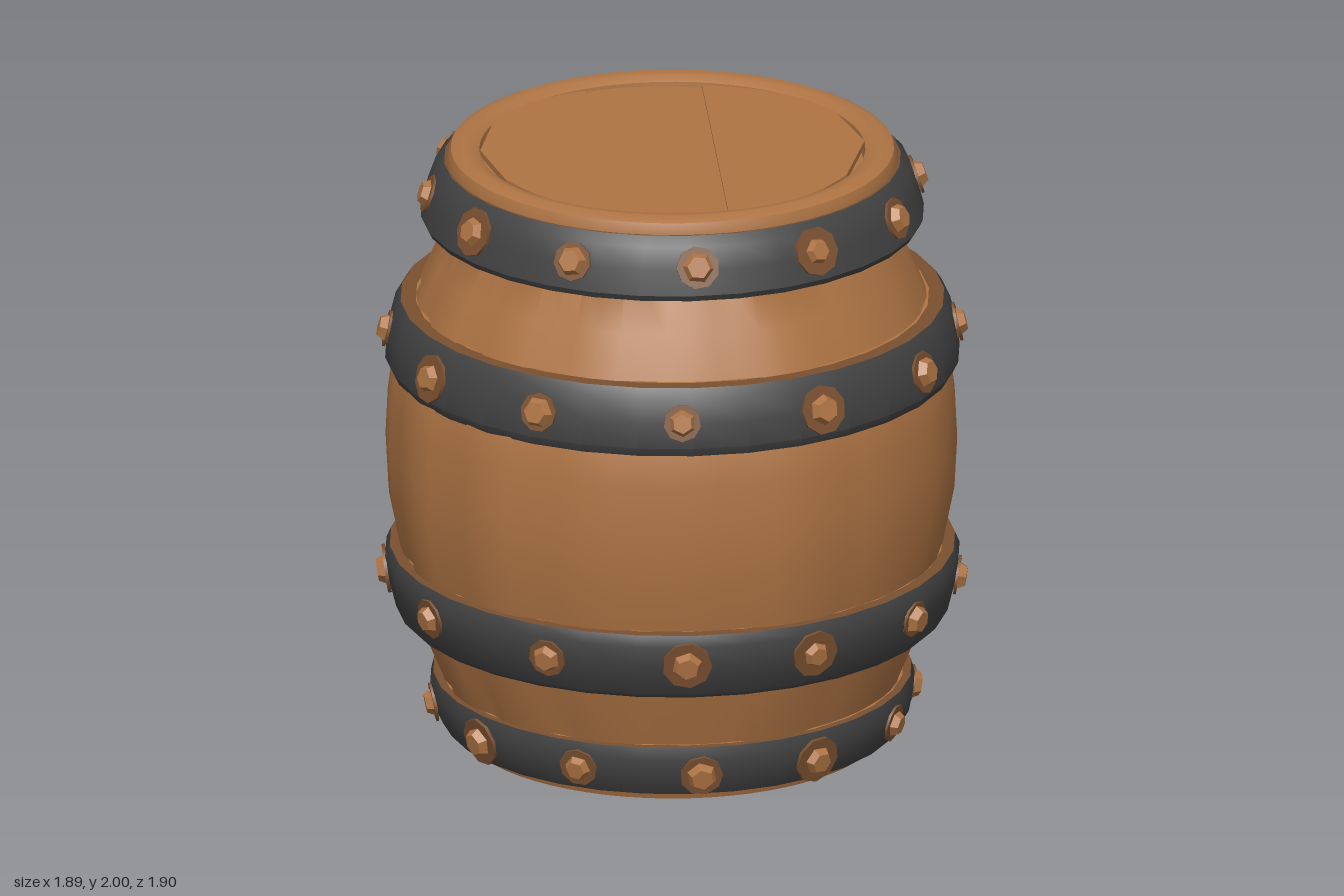
import * as THREE from 'three';
import { toCreasedNormals } from 'three/addons/utils/BufferGeometryUtils.js';

const STAVES = 16, SUB = 4;

function seeded(seed) {
  return () => {
    seed = (seed * 16807) % 2147483647;
    return seed / 2147483647;
  };
}

const points = (list) => list.map(([r, y]) => new THREE.Vector2(r, y));

function lathe(profile, segments, crease = 0.6) {
  return toCreasedNormals(new THREE.LatheGeometry(points(profile), segments), crease);
}

// Closed barrel body: shallow recess below, bulging wall, rounded rim, bed under the lid
function bodyGeometry(rand) {
  const profile = [
    [0, 0.11], [0.625, 0.11], [0.632, 0.03], [0.65, 0.005], [0.68, 0.005], [0.70, 0.06],
    [0.745, 0.22], [0.828, 0.42], [0.876, 0.65], [0.912, 0.83], [0.921, 1.0], [0.914, 1.15],
    [0.899, 1.27], [0.822, 1.48], [0.762, 1.62], [0.70, 1.75], [0.73, 1.94], [0.712, 1.985],
    [0.68, 2.0], [0.645, 1.995], [0.62, 1.98], [0.615, 1.93], [0, 1.93],
  ];
  const count = STAVES * SUB;
  const geo = new THREE.LatheGeometry(points(profile), count);
  const offsets = Array.from({ length: STAVES }, () => (rand() - 0.5) * 0.02);
  const pos = geo.attributes.position;
  // Each stave sits slightly in or out, with a shallow groove at every joint
  for (let i = 0; i < pos.count; i++) {
    const x = pos.getX(i), y = pos.getY(i), z = pos.getZ(i);
    if (y < 0.15 || y > 1.8) continue;
    const turn = Math.atan2(x, z) / (Math.PI * 2) + 1;
    const j = Math.round(turn * count) % count;
    const k = 1 + (j % SUB === 0 ? -0.012 : offsets[Math.floor(j / SUB)]);
    pos.setXYZ(i, x * k, y, z * k);
  }
  return toCreasedNormals(geo, 0.6);
}

// One plank: the slice of a disc between two chords
function plankGeometry(radius, from, to) {
  const near = [], far = [];
  for (let i = 0; i <= 6; i++) {
    const d = from + (to - from) * i / 6;
    const half = Math.sqrt(Math.max(0, radius * radius - d * d));
    near.push(new THREE.Vector2(half, d));
    far.unshift(new THREE.Vector2(-half, d));
  }
  const geo = new THREE.ExtrudeGeometry(new THREE.Shape([...near, ...far]), { depth: 0.02, bevelEnabled: false });
  return geo.rotateX(-Math.PI / 2);
}

export function createModel() {
  const wood = new THREE.MeshStandardMaterial({ color: 0xae7444 });
  const darkWood = new THREE.MeshStandardMaterial({ color: 0x7a5030 });
  const iron = new THREE.MeshStandardMaterial({ color: 0x424242 });
  wood.name = 'wood';
  darkWood.name = 'worn brown';
  iron.name = 'dark iron';

  const rand = seeded(77);
  const model = new THREE.Group();
  model.name = 'barrel';
  const add = (parent, name, geo, mat) => {
    const mesh = new THREE.Mesh(geo, mat);
    mesh.name = name;
    parent.add(mesh);
    return mesh;
  };

  add(model, 'staves', bodyGeometry(rand), wood);

  // Lid and floor of uneven diagonal planks
  const addPlanks = (name, y, tilts) => {
    const group = new THREE.Group();
    group.name = name;
    group.rotation.y = 0.98;
    const cuts = [-0.62, -0.14, 0.24, 0.62];
    tilts.forEach((tilt, i) => {
      const plank = add(group, 'plank', plankGeometry(0.62, cuts[i], cuts[i + 1]), wood);
      plank.position.y = y;
      plank.rotation.x = tilt;
    });
    model.add(group);
  };
  addPlanks('lid', 1.945, [-0.04, 0.02, 0.04]);
  addPlanks('floor', 0.078, [0.03, -0.02, -0.04]);

  // Iron flecks around the floor edge
  for (let i = 0; i < 14; i++) {
    const top = 0.095, low = 0.045 + rand() * 0.025;
    const arc = points([[0.621, top], [0.626, low]]);
    add(model, 'floorFleck', new THREE.LatheGeometry(arc, 3, i * Math.PI / 7, 0.12 + rand() * 0.2), iron);
  }

  // Hoops: outer profile bottom to top, wall radius at each lip, rivet height and angles
  const ring = (turn) => Array.from({ length: 12 }, (_, i) => turn + i * 30);
  const hoops = [
    { profile: [[0.68, 0.02], [0.735, 0.04], [0.765, 0.09], [0.78, 0.17], [0.77, 0.21]], lips: [0.66, 0.73], y: 0.12, angles: ring(-1) },
    { profile: [[0.87, 0.42], [0.89, 0.44], [0.915, 0.54], [0.925, 0.61], [0.91, 0.645]], lips: [0.80, 0.85], y: 0.545,
      angles: [-8, 20, 48, 76, 84, 114, 143, 173, 203, 233, 264, 296, 325] },
    { profile: [[0.91, 1.26], [0.925, 1.29], [0.915, 1.37], [0.895, 1.45], [0.875, 1.48]], lips: [0.87, 0.80], y: 1.375, angles: ring(-6) },
    { profile: [[0.80, 1.75], [0.81, 1.77], [0.79, 1.85], [0.765, 1.92], [0.735, 1.95]], lips: [0.68, 0.70], y: 1.86, angles: ring(-2) },
  ];
  const rivetGeo = toCreasedNormals(new THREE.CylinderGeometry(0.034, 0.056, 0.042, 6).rotateX(Math.PI / 2), 0.1);
  const haloGeo = new THREE.CylinderGeometry(0.07, 0.07, 0.009, 9).rotateX(Math.PI / 2);

  hoops.forEach(({ profile, lips, y, angles }) => {
    const hoop = new THREE.Group();
    hoop.name = 'hoop';
    add(hoop, 'hoopBand', lathe(profile, 32), iron);

    // Lips: a worn edge beside the iron, then wood back to the wall
    const [lowR, lowY] = profile[0], [topR, topY] = profile[profile.length - 1];
    const lowMid = [lowR * 0.35 + lips[0] * 0.65, lowY], topMid = [topR * 0.35 + lips[1] * 0.65, topY];
    add(hoop, 'lowerLipEdge', lathe([lowMid, [lowR, lowY]], 32), darkWood);
    add(hoop, 'lowerLip', lathe([[lips[0], lowY], lowMid], 32), wood);
    add(hoop, 'upperLipEdge', lathe([[topR, topY], topMid], 32), darkWood);
    add(hoop, 'upperLip', lathe([topMid, [lips[1], topY]], 32), wood);

    // Surface radius and slope of the band at rivet height
    const k = profile.findIndex((p) => p[1] > y);
    const [r0, y0] = profile[k - 1], [r1, y1] = profile[k];
    const radius = r0 + (r1 - r0) * (y - y0) / (y1 - y0);
    const tilt = Math.atan2(r1 - r0, y1 - y0);

    angles.forEach((degrees, i) => {
      const spot = new THREE.Group();
      spot.name = 'rivet';
      spot.rotation.order = 'YXZ';
      const angle = THREE.MathUtils.degToRad(degrees);
      spot.rotation.set(tilt, angle, 0);
      spot.position.set(Math.sin(angle) * radius, y + (rand() - 0.5) * 0.01, Math.cos(angle) * radius);
      const head = add(spot, 'rivetHead', rivetGeo, wood);
      head.rotation.z = rand() * 6;
      head.scale.setScalar(0.9 + rand() * 0.2);
      head.position.z = 0.01;
      // Worn patch around the rivet, wider on every third one
      const halo = add(spot, 'rivetRing', haloGeo, darkWood);
      halo.rotation.z = rand() * 6;
      halo.scale.setScalar(i % 3 === 0 ? 1.15 : 0.85 + rand() * 0.15);
      halo.position.z = 0.002;
      hoop.add(spot);
    });
    model.add(hoop);
  });

  return model;
}
